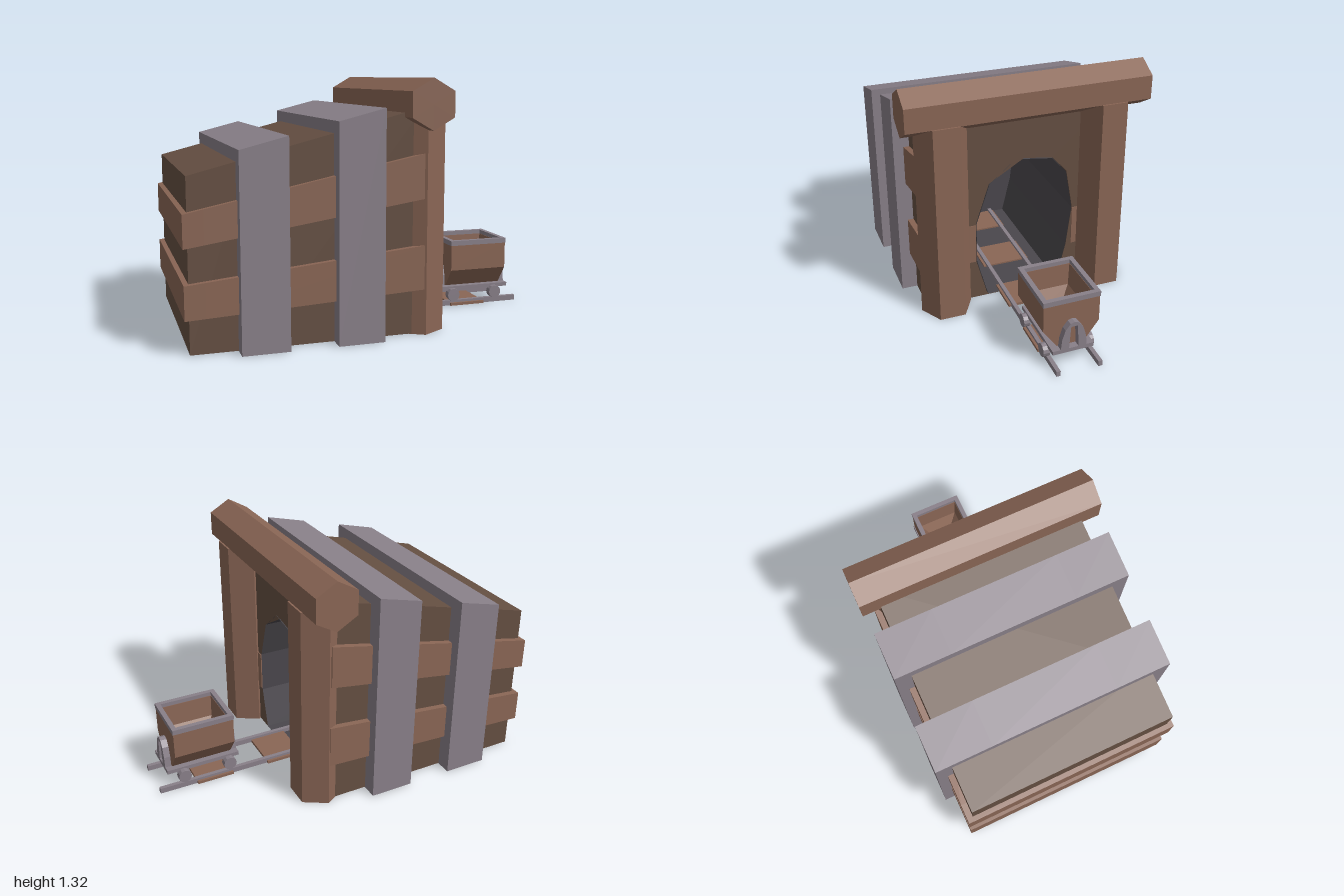
import * as THREE from 'three';

const mat = (color) => new THREE.MeshStandardMaterial({ color, flatShading: true });
const darkWood = mat(0x654f42), wood = mat(0x8a6655), metal = mat(0x898089), rock = mat(0x4a474c);
rock.side = THREE.DoubleSide;

const roof = (x) => 1.1136 + 0.255 * x;

function add(parent, name, geometry, material, x = 0, y = 0, z = 0) {
  const mesh = new THREE.Mesh(geometry, material);
  mesh.name = name;
  mesh.position.set(x, y, z);
  parent.add(mesh);
  return mesh;
}

// box given by its limits
function box(parent, name, material, x0, x1, y0, y1, z0, z1) {
  return add(parent, name, new THREE.BoxGeometry(x1 - x0, y1 - y0, z1 - z0), material,
    (x0 + x1) / 2, (y0 + y1) / 2, (z0 + z1) / 2);
}

// block whose bottom and top heights change along x
function slab(parent, name, material, x0, x1, bottom, top, z0, z1) {
  const shape = new THREE.Shape([
    new THREE.Vector2(x0, bottom(x0)), new THREE.Vector2(x1, bottom(x1)),
    new THREE.Vector2(x1, top(x1)), new THREE.Vector2(x0, top(x0))]);
  return add(parent, name, new THREE.ExtrudeGeometry(shape, { depth: z1 - z0, bevelEnabled: false }), material, 0, 0, z0);
}

// rectangular rings [y, halfX, halfZ] joined in order, optionally capped
function loft(rings, capped) {
  const pos = [], index = [];
  for (const [y, hx, hz] of rings) pos.push(-hx, y, hz, hx, y, hz, hx, y, -hz, -hx, y, -hz);
  for (let r = 0; r < rings.length - 1; r++) {
    for (let i = 0; i < 4; i++) {
      const a = r * 4 + i, b = r * 4 + (i + 1) % 4;
      index.push(a, b, b + 4, a, b + 4, a + 4);
    }
  }
  if (capped) {
    const e = (rings.length - 1) * 4;
    index.push(0, 2, 1, 0, 3, 2, e, e + 1, e + 2, e, e + 2, e + 3);
  }
  const g = new THREE.BufferGeometry();
  g.setAttribute('position', new THREE.Float32BufferAttribute(pos, 3));
  g.setIndex(index);
  g.computeVertexNormals();
  return g;
}

// tunnel mouth outline as [z, y]
const mouth = [[0.213, 0], [0.275, 0.235], [0.275, 0.475], [0.198, 0.705], [0.047, 0.83],
  [-0.165, 0.8], [-0.25, 0.705], [-0.29, 0.475], [-0.26, 0.235], [-0.205, 0]];

function buildBody(parent) {
  const front = 0.214, tunnelEnd = -0.69, back = -0.975, low = 0.003;
  // front part is cut by the tunnel, its roof follows the slope
  const points = [[0.568, low], ...mouth.map(([z, y]) => [z * 1.01, Math.max(y * 1.005, low)]),
    [-0.573, low], [-0.573, 2], [0.568, 2]];
  const shape = new THREE.Shape(points.map(([z, y]) => new THREE.Vector2(-z, y)));
  const g = new THREE.ExtrudeGeometry(shape, { depth: front - tunnelEnd, bevelEnabled: false });
  g.rotateY(Math.PI / 2).translate(tunnelEnd, 0, 0);
  const p = g.attributes.position;
  for (let i = 0; i < p.count; i++) if (p.getY(i) > 1.5) p.setY(i, roof(p.getX(i)));
  g.computeVertexNormals();
  add(parent, 'mineWalls', g, darkWood);
  slab(parent, 'mineRear', darkWood, back, tunnelEnd, () => low, roof, -0.573, 0.568);
  box(parent, 'mineFloor', darkWood, tunnelEnd, front, low, 0.005, -0.23, 0.23);

  // tunnel lining: two outline rings and an end wall
  const pos = [], index = [], n = mouth.length;
  for (const x of [front + 0.002, tunnelEnd + 0.005]) {
    for (const [z, y] of mouth) pos.push(x, Math.max(y, 0.007), z);
  }
  for (let i = 0; i < n; i++) {
    const j = (i + 1) % n;
    index.push(i, j, n + j, i, n + j, n + i);
    if (i > 0 && i < n - 1) index.push(n, n + i, n + i + 1);
  }
  const lining = new THREE.BufferGeometry();
  lining.setAttribute('position', new THREE.Float32BufferAttribute(pos, 3));
  lining.setIndex(index);
  lining.computeVertexNormals();
  add(parent, 'tunnelLining', lining, rock);
}

function buildPlanks(parent) {
  // heights at the back and the front end, then the front x
  const planks = [[0.18, 0.35, 0.24, 0.47, 0.22], [0.525, 0.69, 0.71, 0.94, 0.213]];
  for (const [b0, t0, b1, t1, end] of planks) {
    const bottom = (x) => b0 + (b1 - b0) * (x + 1) / 1.22;
    const top = (x) => t0 + (t1 - t0) * (x + 1) / 1.22;
    slab(parent, 'leftPlank', wood, -0.9, end, bottom, top, 0.28, 0.6);
    slab(parent, 'rightPlank', wood, -0.9, end, bottom, top, -0.605, -0.292);
    slab(parent, 'rearPlank', wood, -1, -0.9, bottom, top, -0.605, 0.6);
  }
}

function buildBands(parent) {
  for (const [x0, x1] of [[-0.74, -0.5], [-0.255, -0.015]]) {
    const top = (x) => roof(x) + 0.062;
    slab(parent, 'leftBand', metal, x0, x1, () => 0.001, top, 0.35, 0.655);
    slab(parent, 'rightBand', metal, x0, x1, () => 0.001, top, -0.66, -0.35);
    slab(parent, 'topBand', metal, x0, x1, (x) => roof(x) - 0.03, top, -0.35, 0.35);
    box(parent, 'bottomBand', metal, x0, x1, 0.001, 0.004, -0.35, 0.35);
  }
}

function buildFrame(parent) {
  for (const side of [1, -1]) {
    add(parent, 'post', new THREE.CylinderGeometry(0.1425, 0.1425, 1.123, 6), wood, 0.226, 0.5615, side * 0.4625);
  }
  const beam = new THREE.CylinderGeometry(0.13, 0.13, 1.345, 6).rotateX(Math.PI / 2);
  add(parent, 'crossBeam', beam, wood, 0.227, 1.186, -0.0025);
}

function buildTrack(parent) {
  for (const z of [0.12, -0.11]) box(parent, 'rail', metal, -0.69, 1, 0, 0.03, z - 0.011, z + 0.011);
  for (let i = 0; i < 4; i++) {
    const x = 0.685 - i * 0.42;
    box(parent, 'sleeper', wood, x - 0.105, x + 0.105, 0.0005, 0.016, -0.135, 0.145);
  }
}

function buildCart(parent) {
  const cart = new THREE.Group();
  cart.name = 'cart';
  cart.position.set(0.7375, 0, 0.016);
  parent.add(cart);
  // hopper skin runs up the outside and down into the cavity
  add(cart, 'hopper', loft([[0.11, 0.17, 0.075], [0.215, 0.17, 0.152], [0.365, 0.17, 0.152],
    [0.365, 0.145, 0.127], [0.24, 0.14, 0.12], [0.15, 0.09, 0.06]], true), wood);
  add(cart, 'rim', loft([[0.36, 0.147, 0.129], [0.36, 0.173, 0.155], [0.388, 0.173, 0.155],
    [0.388, 0.147, 0.129], [0.36, 0.147, 0.129]], false), metal);
  box(cart, 'chassis', metal, -0.2075, 0.2075, 0.09, 0.112, -0.11, 0.114);

  // arched end brackets
  const arch = new THREE.Shape([[-0.072, 0.1], [0.072, 0.1], [0.065, 0.17], [0.048, 0.225], [0.022, 0.258],
    [0, 0.265], [-0.022, 0.258], [-0.048, 0.225], [-0.065, 0.17]].map(([x, y]) => new THREE.Vector2(x, y)));
  arch.holes.push(new THREE.Path([[-0.026, 0.112], [-0.018, 0.24], [0.018, 0.24], [0.026, 0.112]]
    .map(([x, y]) => new THREE.Vector2(x, y))));
  const bracket = new THREE.ExtrudeGeometry(arch, { depth: 0.035, bevelEnabled: false })
    .rotateY(Math.PI / 2).translate(-0.0175, 0, 0);
  for (const side of [1, -1]) {
    add(cart, 'endBracket', bracket, metal, side * 0.19);
    for (const x of [-0.145, 0.118]) {
      const wheel = new THREE.CylinderGeometry(0.037, 0.037, 0.036, 12).rotateX(Math.PI / 2);
      add(cart, 'wheel', wheel, metal, x, 0.067, side * 0.122);
    }
  }
}

export function createModel() {
  const model = new THREE.Group();
  model.name = 'mineEntrance';
  for (const build of [buildBody, buildPlanks, buildBands, buildFrame, buildTrack, buildCart]) build(model);
  return model;
}
